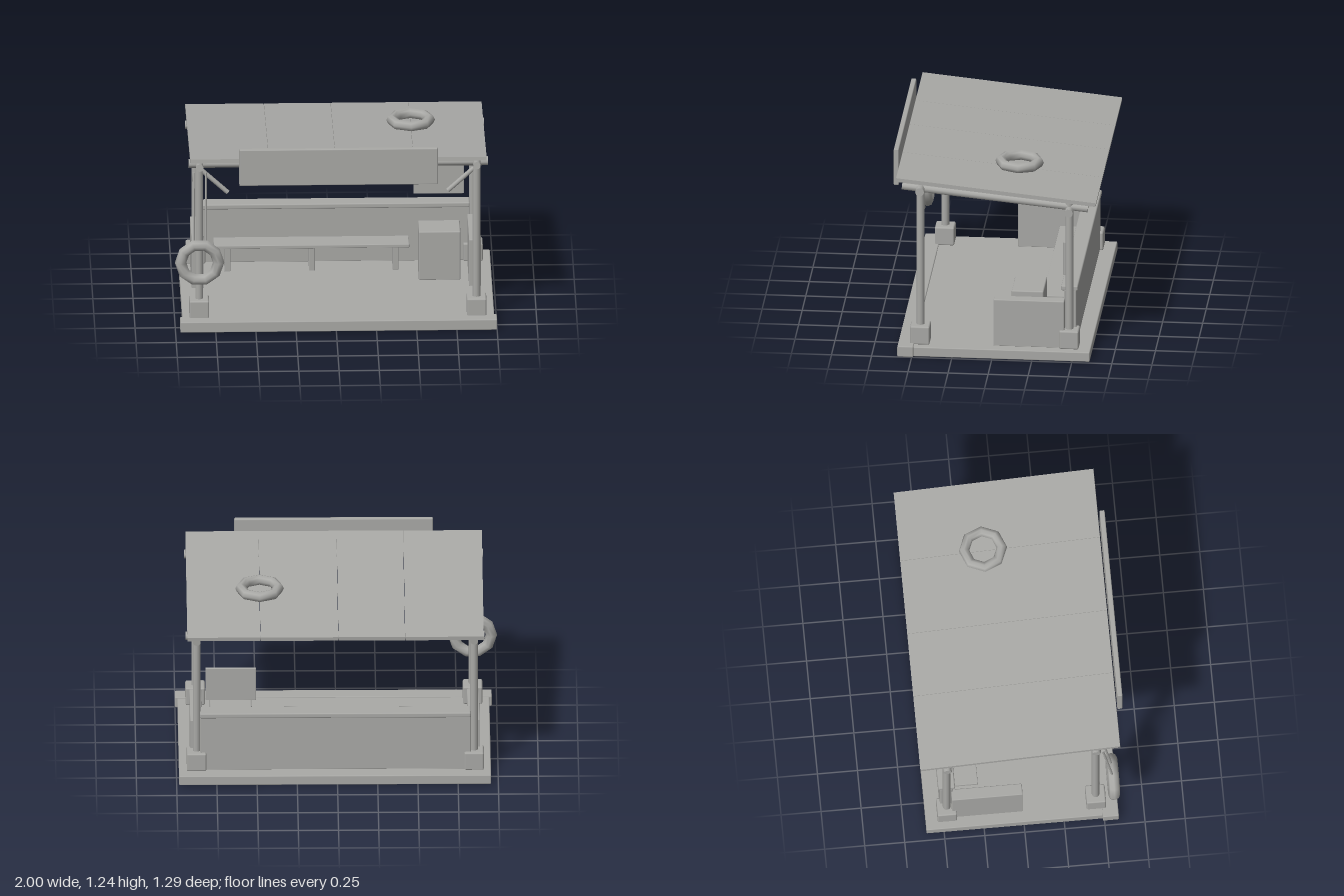
import * as THREE from 'three';
import { RoundedBoxGeometry } from 'three/addons/geometries/RoundedBoxGeometry.js';

export function createModel() {
  const model = new THREE.Group();
  model.name = 'shelter';
  const grey = new THREE.MeshStandardMaterial({ color: 0xaaaaa7 });
  grey.name = 'plain grey';

  const add = (name, geometry, parent = model) => {
    const mesh = new THREE.Mesh(geometry, grey);
    mesh.name = name;
    parent.add(mesh);
    return mesh;
  };
  // Softened box given by its limits on each axis
  const block = (name, [x0, x1], [y0, y1], [z0, z1], bevel = 0.006) => {
    const mesh = add(name, new RoundedBoxGeometry(x1 - x0, y1 - y0, z1 - z0, 1, bevel));
    mesh.position.set((x0 + x1) / 2, (y0 + y1) / 2, (z0 + z1) / 2);
    return mesh;
  };
  // Round pole between two points
  const pole = (name, from, to, radius, sides = 10) => {
    const a = new THREE.Vector3(...from), b = new THREE.Vector3(...to);
    const dir = b.clone().sub(a);
    const mesh = add(name, new THREE.CylinderGeometry(radius, radius, dir.length(), sides));
    mesh.position.copy(a).add(b).multiplyScalar(0.5);
    mesh.quaternion.setFromUnitVectors(new THREE.Vector3(0, 1, 0), dir.normalize());
    return mesh;
  };

  const leftX = 0.875, rightX = -0.85, frontZ = 0.455, backZ = -0.475;

  // Floor and front curb
  block('floor', [-0.955, 0.985], [0, 0.063], [-0.61, 0.5]);
  block('frontCurb', [-0.97, 1.0], [0, 0.07], [0.49, 0.59]);

  // Footings, posts, rafters and braces on both sides
  for (const x of [rightX, leftX]) {
    for (const [z, top] of [[frontZ, 1.1], [backZ, 1.02]]) {
      block('footing', [x - 0.061, x + 0.061], [0.06, 0.18], [z - 0.061, z + 0.061], 0.01);
      pole('post', [x, 0.17, z], [x, top, z], 0.025);
    }
    pole('rafter', [x, 1.093, 0.57], [x, 0.98, -0.59], 0.024);
    const s = Math.sign(x);
    pole('brace', [x - s * 0.015, 1.035, frontZ], [x - s * 0.178, 0.885, frontZ], 0.015, 8);
  }
  pole('frontBeam', [-0.915, 1.08, frontZ], [0.945, 1.08, frontZ], 0.028);
  pole('backBeam', [-0.915, 0.97, backZ], [0.945, 0.97, backZ], 0.027);

  // Sloping roof made of four sheets
  const roof = new THREE.Group();
  roof.name = 'roof';
  roof.position.set(0, 1.09, -0.02);
  roof.rotation.x = -0.1;
  model.add(roof);
  const seams = [-0.91, -0.42, -0.005, 0.48, 0.935];
  for (let i = 0; i < 4; i++) {
    const width = seams[i + 1] - seams[i];
    const sheet = add('roofSheet', new THREE.BoxGeometry(width - 0.002, 0.025, 1.253), roof);
    sheet.position.x = (seams[i] + seams[i + 1]) / 2;
  }

  // Boards
  block('frontBoard', [-0.605, 0.63], [1.0, 1.24], [0.613, 0.645]);
  block('noticeBoard', [0.505, 0.82], [0.51, 0.73], [-0.45, -0.43], 0.004);

  // Low walls and the rail on the back wall
  block('backWall', [-0.83, 0.855], [0.06, 0.425], [-0.515, -0.437]);
  block('backRail', [-0.83, 0.855], [0.42, 0.453], [-0.525, -0.42], 0.008);
  block('sideWall', [-0.885, -0.81], [0.06, 0.37], [-0.445, -0.003]);
  block('sideWall', [0.84, 0.915], [0.06, 0.37], [-0.445, -0.003]);

  // Bench and cabinet
  block('benchSeat', [-0.74, 0.475], [0.215, 0.237], [-0.42, -0.27], 0.004);
  for (const x of [-0.655, -0.13, 0.39])
    block('benchLeg', [x - 0.018, x + 0.018], [0.06, 0.22], [-0.41, -0.28], 0.004);
  block('cabinet', [0.53, 0.79], [0.06, 0.385], [-0.305, -0.105], 0.008);

  // Hanging tyre and its ropes
  const hangingTyre = add('hangingTyre', new THREE.TorusGeometry(0.118, 0.036, 8, 10));
  hangingTyre.position.set(-0.85, 0.46, 0.562);
  for (const x of [-0.885, -0.81])
    pole('rope', [x, 1.035, 0.497], [x, 0.59, 0.556], 0.007, 6);

  // Tyre lying on the roof
  const roofTyre = add('roofTyre', new THREE.TorusGeometry(0.118, 0.033, 8, 8));
  roofTyre.position.set(0.48, 1.127, -0.128);
  roofTyre.rotation.x = Math.PI / 2 - 0.02;

  return model;
}
